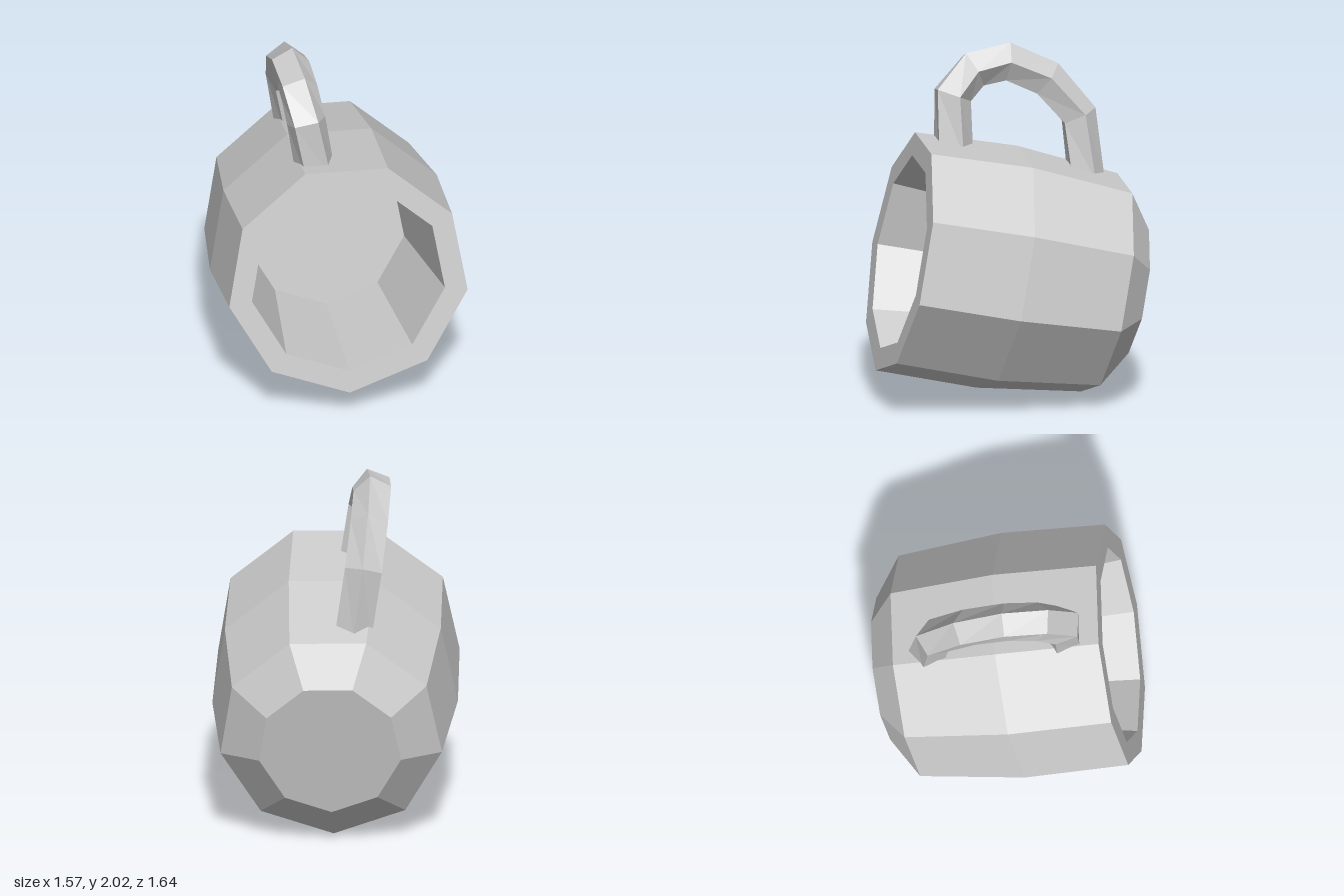
import * as THREE from 'three';

const material = new THREE.MeshStandardMaterial({ color: 0xcccccc, flatShading: true });
const deg = Math.PI / 180;

// Nine-sided cup, its axis along local z and the rim centre at the origin
function makeCup() {
  const profile = [
    [0, -1.365], [0.41, -1.365], [0.64, -1.205], [0.71, -0.6], [0.698, 0], // outside
    [0.565, 0], [0.46, -0.79], [0, -0.79],                                  // inside
  ].map(([r, t]) => new THREE.Vector2(r, t));
  const geometry = new THREE.LatheGeometry(profile, 9, 189.5 * deg).rotateX(Math.PI / 2);
  const mesh = new THREE.Mesh(geometry, material);
  mesh.name = 'cup';
  return mesh;
}

// Five-sided handle, swept along an arch in the local yz plane with a slight twist
function makeHandle() {
  const path = [
    [0.6, -0.22], [0.936, -0.156], [1.102, -0.255], [1.172, -0.444],
    [1.107, -0.686], [0.926, -0.904], [0.576, -1.01],
  ].map(([h, t]) => new THREE.Vector3(-0.033, h, t));
  const sides = 5, last = path.length - 1;
  const positions = [], index = [];

  path.forEach((p, i) => {
    const before = path[Math.max(i - 1, 0)], after = path[Math.min(i + 1, last)];
    const a = p.clone().sub(before).normalize(), b = after.clone().sub(p).normalize();
    const tangent = a.add(b).normalize();
    const outward = new THREE.Vector3(0, -tangent.z, tangent.y); // away from the arch centre
    const radius = 0.118 - 0.008 * i / last;
    const roll = 36 * i / last;
    for (let k = 0; k < sides; k++) {
      const angle = (36 + 72 * k - roll) * deg;
      const v = p.clone().addScaledVector(outward, radius * Math.cos(angle));
      v.x += radius * Math.sin(angle);
      positions.push(v.x, v.y, v.z);
    }
  });

  for (let i = 0; i < last; i++) {
    for (let k = 0; k < sides; k++) {
      const a = i * sides + k, b = i * sides + (k + 1) % sides;
      index.push(a, b, a + sides, b, b + sides, a + sides);
    }
  }
  // End caps
  const end = last * sides;
  for (let k = 1; k < sides - 1; k++) {
    index.push(0, k + 1, k, end, end + k, end + k + 1);
  }

  const geometry = new THREE.BufferGeometry();
  geometry.setAttribute('position', new THREE.Float32BufferAttribute(positions, 3));
  geometry.setIndex(index);
  geometry.computeVertexNormals();
  const handleMaterial = material.clone();
  handleMaterial.side = THREE.DoubleSide;
  const mesh = new THREE.Mesh(geometry, handleMaterial);
  mesh.name = 'handle';
  return mesh;
}

export function createModel() {
  const group = new THREE.Group();
  group.name = 'mug';

  // The mug lies tilted: opening forward and slightly up, handle on top
  const tilted = new THREE.Group();
  tilted.name = 'tiltedMug';
  const axis = new THREE.Vector3(0.239, 0.2, 0.95).normalize();
  const side = new THREE.Vector3(-0.206, 0.967, -0.152).cross(axis).normalize();
  const up = axis.clone().cross(side);
  tilted.quaternion.setFromRotationMatrix(new THREE.Matrix4().makeBasis(side, up, axis));
  tilted.position.set(0.109, 0.872, 0.601);
  tilted.add(makeCup(), makeHandle());

  group.add(tilted);
  return group;
}
